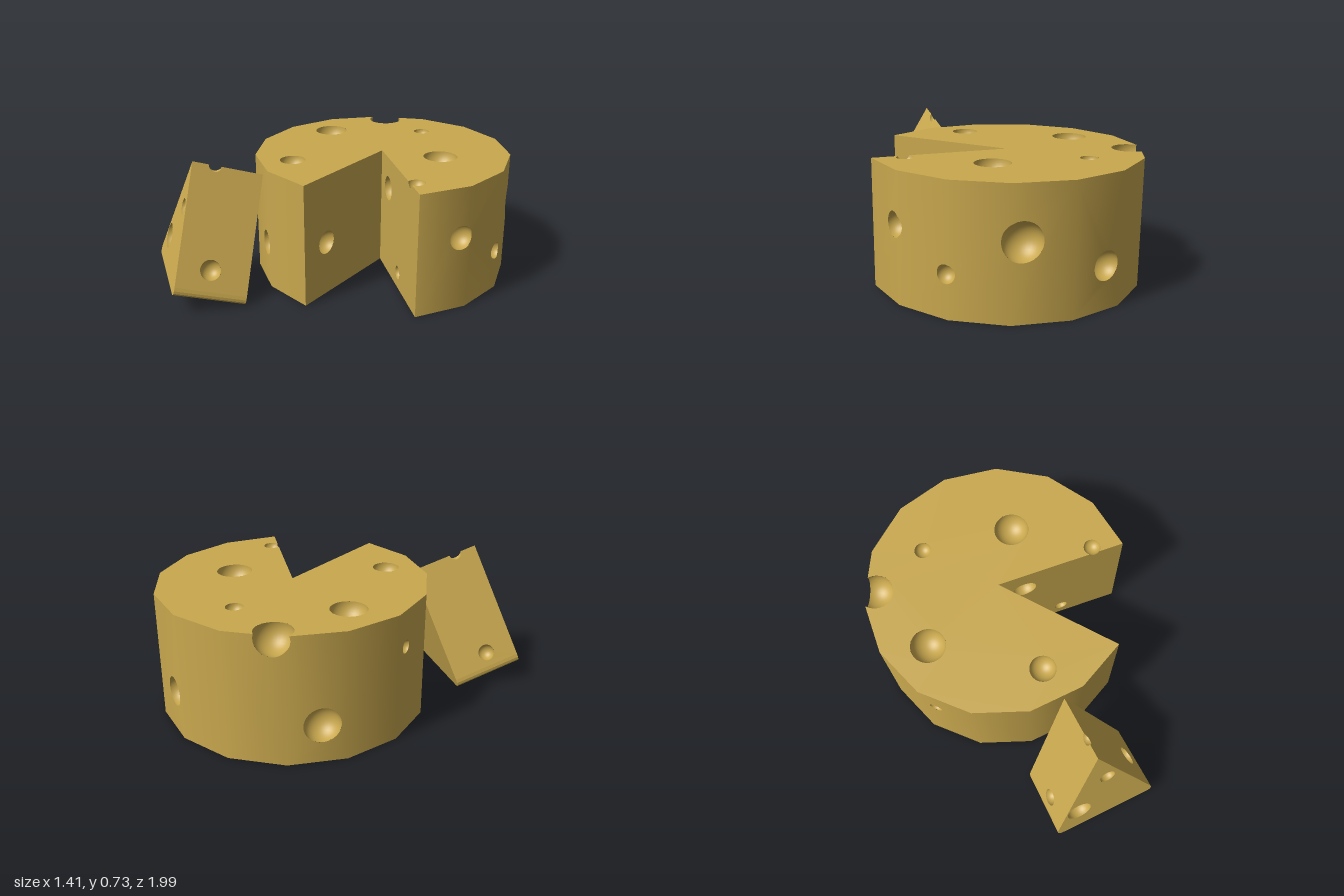
import * as THREE from 'three';

const V = (x, y, z) => new THREE.Vector3(x, y, z);
const material = new THREE.MeshStandardMaterial({ color: 0xc9a84e });

// Faces of a prism: cap outline (counter-clockwise from outside) swept along a vector
function prismFaces(outline, sweep) {
  const far = outline.map(p => p.clone().add(sweep));
  const sides = outline.map((p, i) => {
    const j = (i + 1) % outline.length;
    return { points: [p, far[i], far[j], outline[j]] };
  });
  return { caps: [{ points: outline }, { points: [...far].reverse() }], sides };
}

function insidePolygon(c, poly) {
  let inside = false;
  poly.forEach((a, i) => {
    const b = poly[(i + 1) % poly.length];
    if ((a.y > c.y) !== (b.y > c.y) && c.x < a.x + (b.x - a.x) * (c.y - a.y) / (b.y - a.y)) inside = !inside;
  });
  return inside;
}

// Takes a disc out of a flat outline, as a hole or as a bite; true if they overlap
function cutDisc(flat, c, r) {
  const pts = [];
  let crossings = 0;
  flat.outline.forEach((a, i) => {
    const b = flat.outline[(i + 1) % flat.outline.length];
    const d = b.clone().sub(a), f = a.clone().sub(c);
    const A = d.dot(d), B = f.dot(d), disc = B * B - A * (f.dot(f) - r * r);
    pts.push(a);
    if (disc <= 0) return;
    for (const t of [(-B - Math.sqrt(disc)) / A, (-B + Math.sqrt(disc)) / A]) {
      if (t > 1e-6 && t < 1 - 1e-6) { pts.push(a.clone().addScaledVector(d, t)); crossings++; }
    }
  });
  const circle = (a) => new THREE.Vector2(c.x + r * Math.cos(a), c.y + r * Math.sin(a));
  if (!crossings) {
    if (!insidePolygon(c, flat.outline)) return false;
    flat.holes.push(Array.from({ length: 32 }, (_, i) => circle(-i / 32 * Math.PI * 2)));
    return true;
  }
  const n = pts.length, at = i => pts[(i + n) % n];
  const eaten = i => at(i).clone().add(at(i + 1)).multiplyScalar(0.5).distanceTo(c) < r;
  let start = 0;
  while (start < n && (eaten(start) || !eaten(start - 1))) start++;
  const out = [];
  let from = null;
  for (let k = start; k < start + n; k++) {
    if (!eaten(k)) { out.push(at(k)); continue; }
    if (!eaten(k - 1)) { from = at(k); out.push(from); }
    if (!eaten(k + 1)) {
      const a0 = from.clone().sub(c).angle(), a1 = at(k + 1).clone().sub(c).angle();
      const turn = (a0 - a1 + Math.PI * 2) % (Math.PI * 2);
      for (let j = 1; j < 16; j++) out.push(circle(a0 - turn * j / 16));
    }
  }
  flat.outline = out;
  return true;
}

// Keeps the part of a polygon behind a plane
function clip(poly, plane) {
  const out = [];
  poly.forEach((a, i) => {
    const b = poly[(i + 1) % poly.length];
    const da = plane.distanceToPoint(a), db = plane.distanceToPoint(b);
    if (da <= 0) out.push(a);
    if (da * db < 0) out.push(a.clone().lerp(b, da / (da - db)));
  });
  return out;
}

// Solid with round hollows [x, y, z, radius] scooped out of its faces
function carve(name, faces, hollows) {
  const position = [], normal = [];
  const emit = (p, n) => { position.push(p.x, p.y, p.z); normal.push(n.x, n.y, n.z); };
  const hits = hollows.map(() => []);

  for (const { points, smooth } of faces) {
    const o = points[0], n = V(0, 0, 0);
    points.forEach((p, i) => n.add(p.clone().sub(o).cross(points[(i + 1) % points.length].clone().sub(o))));
    n.normalize();
    const u = points[1].clone().sub(o).normalize(), v = n.clone().cross(u);
    const to2D = p => { const q = p.clone().sub(o); return new THREE.Vector2(q.dot(u), q.dot(v)); };
    const plane = new THREE.Plane().setFromNormalAndCoplanarPoint(n, o);
    const flat = { outline: points.map(to2D), holes: [] };
    hollows.forEach(([x, y, z, r], i) => {
      const c = V(x, y, z), d = plane.distanceToPoint(c);
      if (Math.abs(d) < r && cutDisc(flat, to2D(c), Math.sqrt(r * r - d * d))) hits[i].push(plane);
    });
    const all = [flat.outline, ...flat.holes].flat();
    for (const tri of THREE.ShapeUtils.triangulateShape(flat.outline, flat.holes)) {
      for (const k of tri) {
        const p = o.clone().addScaledVector(u, all[k].x).addScaledVector(v, all[k].y);
        emit(p, smooth ? smooth(p) : n);
      }
    }
  }

  // Bowls: the part of each sphere lying inside the solid, facing inwards
  hollows.forEach(([x, y, z, r], i) => {
    if (!hits[i].length) return;
    const c = V(x, y, z);
    const g = new THREE.SphereGeometry(r, 32, 20).toNonIndexed().translate(x, y, z);
    const pos = g.attributes.position;
    for (let t = 0; t < pos.count; t += 3) {
      let poly = [2, 1, 0].map(k => new THREE.Vector3().fromBufferAttribute(pos, t + k));
      for (const plane of hits[i]) poly = clip(poly, plane);
      for (let k = 1; k + 1 < poly.length; k++) {
        for (const p of [poly[0], poly[k], poly[k + 1]]) emit(p, c.clone().sub(p).normalize());
      }
    }
  });

  const geometry = new THREE.BufferGeometry();
  geometry.setAttribute('position', new THREE.Float32BufferAttribute(position, 3));
  geometry.setAttribute('normal', new THREE.Float32BufferAttribute(normal, 3));
  const mesh = new THREE.Mesh(geometry, material);
  mesh.name = name;
  return mesh;
}

// Fifteen-sided wheel with two sides' worth of slice missing
function cheeseWheel() {
  const H = 0.675, R = 0.712, cx = -0.005, cz = -0.29;
  const outline = [V(cx, H, cz)];
  for (let k = -1; k <= 12; k++) {
    const a = k * Math.PI * 2 / 15;
    outline.push(V(cx + R * Math.cos(a), H, cz - R * Math.sin(a)));
  }
  const { caps, sides } = prismFaces(outline, V(0, -H, 0));
  // Only the rind is shaded round; the two cut faces stay flat
  sides.slice(1, -1).forEach(s => { s.smooth = p => V(p.x - cx, 0, p.z - cz).normalize(); });
  return carve('cheeseWheel', [...caps, ...sides], [
    // top
    [-0.5, 0.65, -0.71, 0.098], [-0.16, H, -0.72, 0.045], [0.27, H, -0.48, 0.093],
    [-0.5, H, -0.29, 0.093], [0.51, 0.68, -0.1, 0.046], [-0.16, H, 0.21, 0.07],
    // cut faces
    [0.157, 0.3, 0.21, 0.065], [0.13, 0.5, -0.235, 0.068], [0.335, 0.088, -0.14, 0.038],
    // rind
    [0.69, 0.4, -0.25, 0.067], [0.645, 0.225, -0.565, 0.048], [0.43, 0.4, -0.85, 0.1],
    [0.01, 0.225, -0.985, 0.076], [-0.65, 0.2, -0.55, 0.092], [-0.672, 0.48, -0.07, 0.035],
    [-0.15, 0.235, 0.388, 0.07],
  ]);
}

// Slice leaning against the wheel, its two rind corners rounded
function cheeseSlice() {
  const A = V(-0.3, 0.733, 0.735), L = V(-0.645, 0.115, 0.815), R = V(-0.07, 0.115, 1.004);
  const rounded = (from, corner, to) => {
    const toward = q => corner.clone().addScaledVector(q.clone().sub(corner).normalize(), 0.055);
    return new THREE.QuadraticBezierCurve3(toward(from), corner, toward(to)).getPoints(5);
  };
  const outline = [A, ...rounded(A, L, R), ...rounded(L, R, A)];
  const { caps, sides } = prismFaces(outline, V(0.12, -0.112, -0.347));
  return carve('cheeseSlice', [...caps, ...sides], [
    [-0.285, 0.505, 0.81, 0.042], [-0.48, 0.27, 0.819, 0.068], // front
    [-0.07, 0.21, 0.785, 0.055], [-0.53, 0.18, 0.652, 0.045],  // flanks
    [-0.262, 0.697, 0.624, 0.034],                             // ridge
  ]);
}

export function createModel() {
  const group = new THREE.Group();
  group.name = 'cheese';
  group.add(cheeseWheel(), cheeseSlice());
  return group;
}
